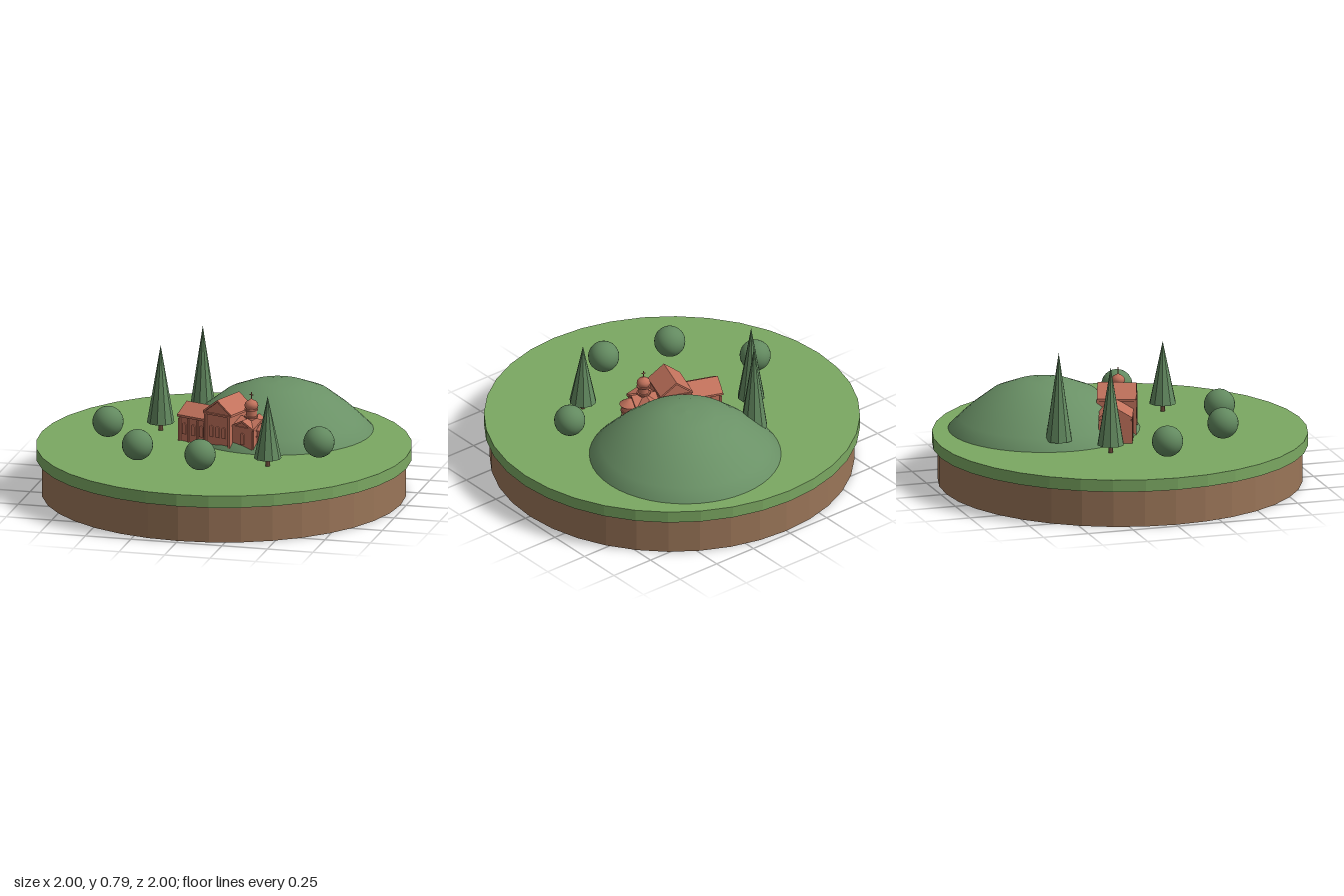
import * as THREE from 'three';
import { toCreasedNormals } from 'three/addons/utils/BufferGeometryUtils.js';

const material = (name, color) => {
  const m = new THREE.MeshStandardMaterial({ color });
  m.name = name;
  return m;
};

export function createModel() {
  const grass = material('grass green', 0x7ba862);
  const earth = material('earth brown', 0x9a7558);
  const hillGreen = material('hill green', 0x6a9166);
  const foliage = material('foliage green', 0x638a60);
  const bark = material('bark brown', 0x6b4a3a);
  const brick = material('terracotta', 0xc2725c);

  const model = new THREE.Group();
  model.name = 'churchIsland';
  const GROUND = 0.265;

  const add = (parent, name, geo, mat, x = 0, y = 0, z = 0) => {
    const mesh = new THREE.Mesh(geo, mat);
    mesh.name = name;
    mesh.position.set(x, y, z);
    parent.add(mesh);
    return mesh;
  };
  const flat = (geo) => toCreasedNormals(geo, 0.02);
  const cyl = (top, bottom, h, sides) => new THREE.CylinderGeometry(top, bottom, h, sides);
  const box = (w, h, d) => new THREE.BoxGeometry(w, h, d);

  // Round base
  add(model, 'earthBase', flat(cyl(0.97, 0.97, 0.2, 36)), earth, 0, 0.1, 0);
  add(model, 'grassTop', flat(cyl(1, 1, GROUND - 0.2, 36)), grass, 0, (GROUND + 0.2) / 2, 0);

  // Hill, with a short buried lip
  const hillProfile = [[0.51, -0.04], [0.51, 0], [0.45, 0.06], [0.39, 0.115], [0.28, 0.2], [0.16, 0.248], [0.08, 0.261], [0, 0.265]]
    .map(([r, y]) => new THREE.Vector2(r, y));
  add(model, 'hill', new THREE.LatheGeometry(hillProfile, 48), hillGreen, 0.2, GROUND, -0.36);

  // Cypresses: x, z, top height
  for (const [x, z, top] of [[-0.395, -0.18, 0.735], [-0.225, -0.415, 0.79], [0.33, 0.345, 0.65]]) {
    const tree = new THREE.Group();
    tree.name = 'cypress';
    tree.position.set(x, 0, z);
    model.add(tree);
    add(tree, 'cypressTrunk', cyl(0.012, 0.012, 0.06, 8), bark, 0, GROUND + 0.03, 0);
    add(tree, 'cypressCrown', flat(new THREE.ConeGeometry(0.073, top - 0.31, 10)), foliage, 0, (top + 0.31) / 2, 0);
  }

  // Round bushes
  for (const [x, z] of [[-0.62, 0.065], [-0.355, 0.46], [0.015, 0.56], [0.565, 0.165]]) {
    add(model, 'bush', new THREE.SphereGeometry(0.083, 24, 16), foliage, x, 0.365, z);
  }

  // Church, its long axis along local x
  const church = new THREE.Group();
  church.name = 'church';
  church.position.set(0.02, GROUND, -0.01);
  church.rotation.y = -0.345;
  model.add(church);

  const extrude = (points, depth) => {
    const shape = new THREE.Shape(points.map(([x, y]) => new THREE.Vector2(x, y)));
    return new THREE.ExtrudeGeometry(shape, { depth, bevelEnabled: false }).translate(0, 0, -depth / 2);
  };
  // Gabled block with an overhanging roof; its ridge runs along z unless turned
  const gabled = (name, x, width, length, eave, ridge, turned) => {
    const block = new THREE.Group();
    block.name = name;
    block.position.x = x;
    if (turned) block.rotation.y = Math.PI / 2;
    church.add(block);
    const w = width / 2, o = w + 0.008, t = 0.012;
    const wallTop = ridge - t;
    add(block, name + 'Walls', extrude([[-w, 0], [w, 0], [w, eave - t / 2], [0, wallTop], [-w, eave - t / 2]], length), brick);
    add(block, name + 'Roof', extrude([[-o, eave - t], [0, wallTop], [o, eave - t], [o, eave], [0, ridge], [-o, eave]], length + 0.014), brick);
  };
  gabled('nave', -0.17, 0.165, 0.18, 0.143, 0.197, true);
  gabled('transept', 0, 0.165, 0.195, 0.197, 0.267, false);
  gabled('towerLong', 0.145, 0.145, 0.135, 0.135, 0.172, true);
  gabled('towerCross', 0.145, 0.125, 0.155, 0.135, 0.172, false);

  // Pilasters and raised arched window panels on both long sides
  const arch = (w, h) => {
    const s = new THREE.Shape();
    s.moveTo(-w, 0);
    s.lineTo(w, 0);
    s.lineTo(w, h);
    s.absarc(0, h, w, 0, Math.PI, false);
    return new THREE.ExtrudeGeometry(s, { depth: 0.008, bevelEnabled: false, curveSegments: 6 }).translate(0, 0, -0.004);
  };
  for (const side of [1, -1]) {
    for (const x of [-0.253, -0.197, -0.14, -0.09]) {
      add(church, 'navePilaster', box(0.012, 0.125, 0.012), brick, x, 0.0625, side * 0.085);
    }
    for (const x of [-0.225, -0.168, -0.115]) {
      add(church, 'naveWindow', arch(0.011, 0.05), brick, x, 0.04, side * 0.085);
    }
    for (const x of [-0.076, 0.076]) {
      add(church, 'transeptPilaster', box(0.013, 0.18, 0.012), brick, x, 0.09, side * 0.1);
    }
    for (const x of [-0.04, 0, 0.04]) {
      add(church, 'transeptWindow', arch(0.011, 0.05), brick, x, 0.06, side * 0.1);
    }
    add(church, 'transeptCornice', box(0.17, 0.01, 0.012), brick, 0, 0.185, side * 0.1);
    add(church, 'towerWindow', arch(0.012, 0.05), brick, 0.145, 0.04, side * 0.08);
  }

  // Rounded apse with bands and a conical roof
  const apse = new THREE.Group();
  apse.name = 'apse';
  apse.position.x = 0.228;
  church.add(apse);
  add(apse, 'apseWall', cyl(0.044, 0.044, 0.125, 16), brick, 0, 0.0625, 0);
  for (const y of [0.04, 0.085, 0.118]) add(apse, 'apseBand', cyl(0.049, 0.049, 0.008, 16), brick, 0, y, 0);
  add(apse, 'apseRoof', cyl(0.006, 0.055, 0.033, 16), brick, 0, 0.139, 0);

  // Drum, dome and cross
  const cupola = new THREE.Group();
  cupola.name = 'cupola';
  cupola.position.x = 0.15;
  church.add(cupola);
  add(cupola, 'drum', cyl(0.029, 0.029, 0.08, 16), brick, 0, 0.18, 0);
  for (const y of [0.178, 0.218]) add(cupola, 'drumBand', cyl(0.037, 0.037, 0.008, 16), brick, 0, y, 0);
  const domeProfile = [[0.028, 0.22], [0.037, 0.235], [0.035, 0.25], [0.025, 0.262], [0.009, 0.27], [0, 0.278]]
    .map(([r, y]) => new THREE.Vector2(r, y));
  add(cupola, 'dome', new THREE.LatheGeometry(domeProfile, 20), brick);
  add(cupola, 'crossPost', box(0.005, 0.045, 0.005), brick, 0, 0.288, 0);
  add(cupola, 'crossArm', box(0.022, 0.005, 0.005), brick, 0, 0.297, 0);

  return model;
}
